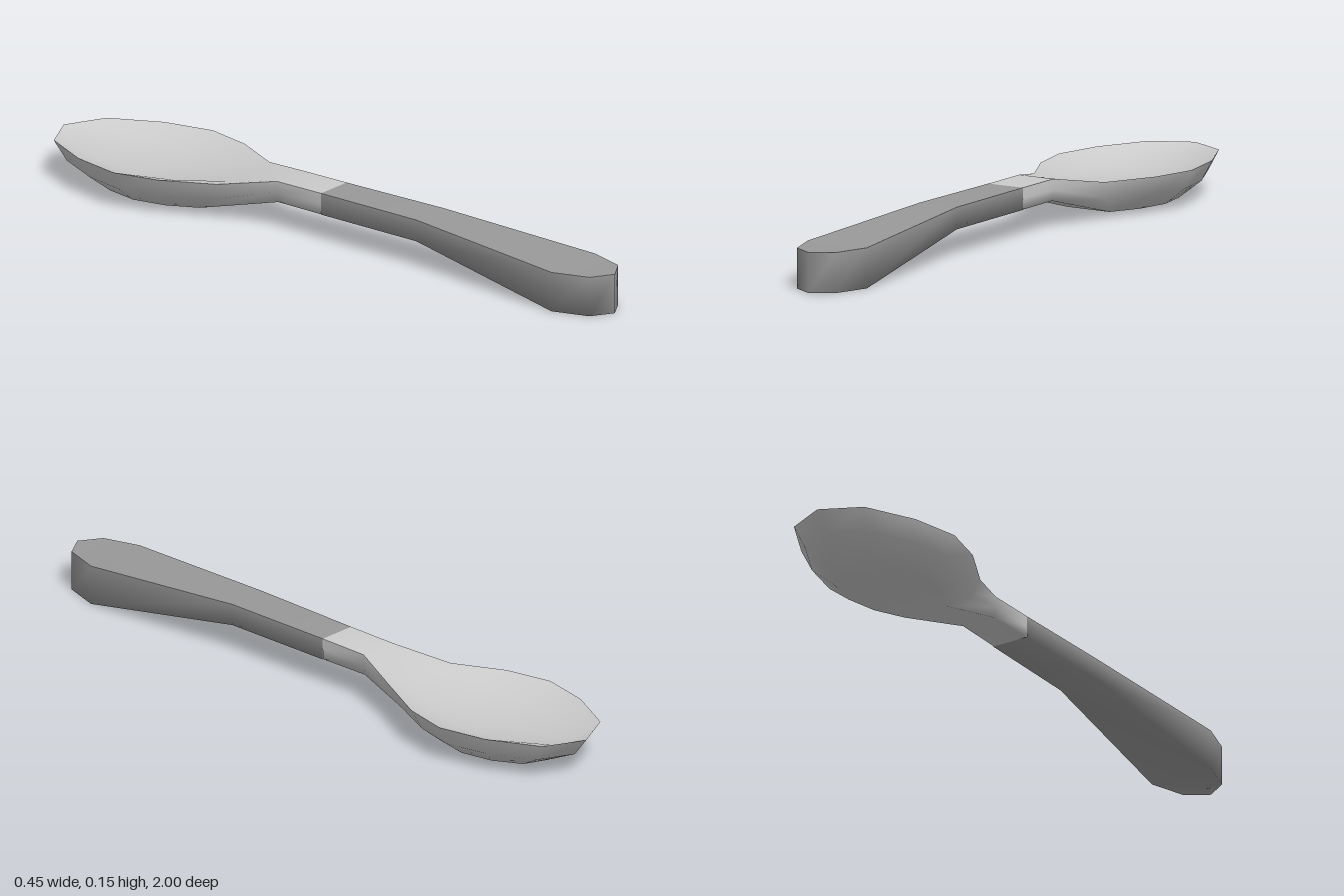
import * as THREE from 'three';
import { mergeVertices } from 'three/addons/utils/BufferGeometryUtils.js';

// Smooth surface through rows of points; rows run from the front (+z) to the back
function loft(rows) {
  const n = rows[0].length, index = [];
  for (let i = 0; i < rows.length - 1; i++) {
    for (let j = 0; j < n - 1; j++) {
      const a = i * n + j, b = a + 1, c = a + n, d = c + 1;
      index.push(a, b, c, b, d, c);
    }
  }
  let geo = new THREE.BufferGeometry();
  geo.setAttribute('position', new THREE.Float32BufferAttribute(rows.flat(2), 3));
  geo.setIndex(index);
  geo = mergeVertices(geo, 1e-4);
  geo.computeVertexNormals();
  return geo;
}

// Half a section, rim to underside, as [x, y, z]; mirrored to the other side
const mirrored = half => [...half, ...half.slice().reverse().map(([x, y, z]) => [-x, y, z])];

// Upper face across a station, sunk by depth in the middle
const across = (z, w, y, depth) => [
  [-w, y, z], [-0.55 * w, y - 0.85 * depth, z], [0, y - depth, z],
  [0.55 * w, y - 0.85 * depth, z], [w, y, z],
];

export function createModel() {
  const model = new THREE.Group();
  const handleGrey = new THREE.MeshStandardMaterial({ color: 0x999999 });
  handleGrey.name = 'handle grey';
  const bowlGrey = new THREE.MeshStandardMaterial({ color: 0xcccccc });
  bowlGrey.name = 'bowl light grey';

  const add = (name, rows, material) => {
    const mesh = new THREE.Mesh(loft(rows), material);
    mesh.name = name;
    model.add(mesh);
  };

  // Handle stations: z, half width, top, underside
  const handle = [
    [1, 0, 0.117, 0], [0.96, 0.065, 0.117, 0], [0.85, 0.1, 0.117, 0],
    [0.33, 0.063, 0.147, 0.083], [-0.02, 0.058, 0.147, 0.083],
  ];
  add('handleTop', handle.map(([z, w, t]) => across(z, w, t, 0)), handleGrey);
  add('handleUnderside', handle.map(([z, w, t, b]) => mirrored([[w, t, z], [w, b, z]])), handleGrey);

  // Neck and bowl: rim, middle and underside outlines, each [half width, y, z]
  const bowl = [
    [[0.058, 0.147, -0.02], [0.058, 0.115, -0.02], [0.056, 0.083, -0.02]],
    [[0.058, 0.147, -0.18], [0.058, 0.115, -0.18], [0.052, 0.083, -0.18]],
    [[0.12, 0.117, -0.35], [0.11, 0.062, -0.38], [0.07, 0.01, -0.45]],
    [[0.195, 0.117, -0.5], [0.172, 0.06, -0.52], [0.115, 0.01, -0.54]],
    [[0.226, 0.117, -0.64], [0.2, 0.06, -0.64], [0.135, 0.01, -0.64]],
    [[0.195, 0.117, -0.79], [0.172, 0.06, -0.77], [0.115, 0.01, -0.74]],
    [[0.12, 0.117, -0.94], [0.105, 0.06, -0.905], [0.07, 0.01, -0.82]],
    [[0, 0.117, -1], [0, 0.06, -0.955], [0, 0.01, -0.85]],
  ];
  const depths = [0, 0, 0.006, 0.03, 0.041, 0.036, 0.015, 0];
  add('bowlHollow', bowl.map(([[w, y, z]], i) => across(z, w, y, depths[i])), bowlGrey);
  add('bowlUnderside', bowl.map(mirrored), bowlGrey);

  return model;
}
